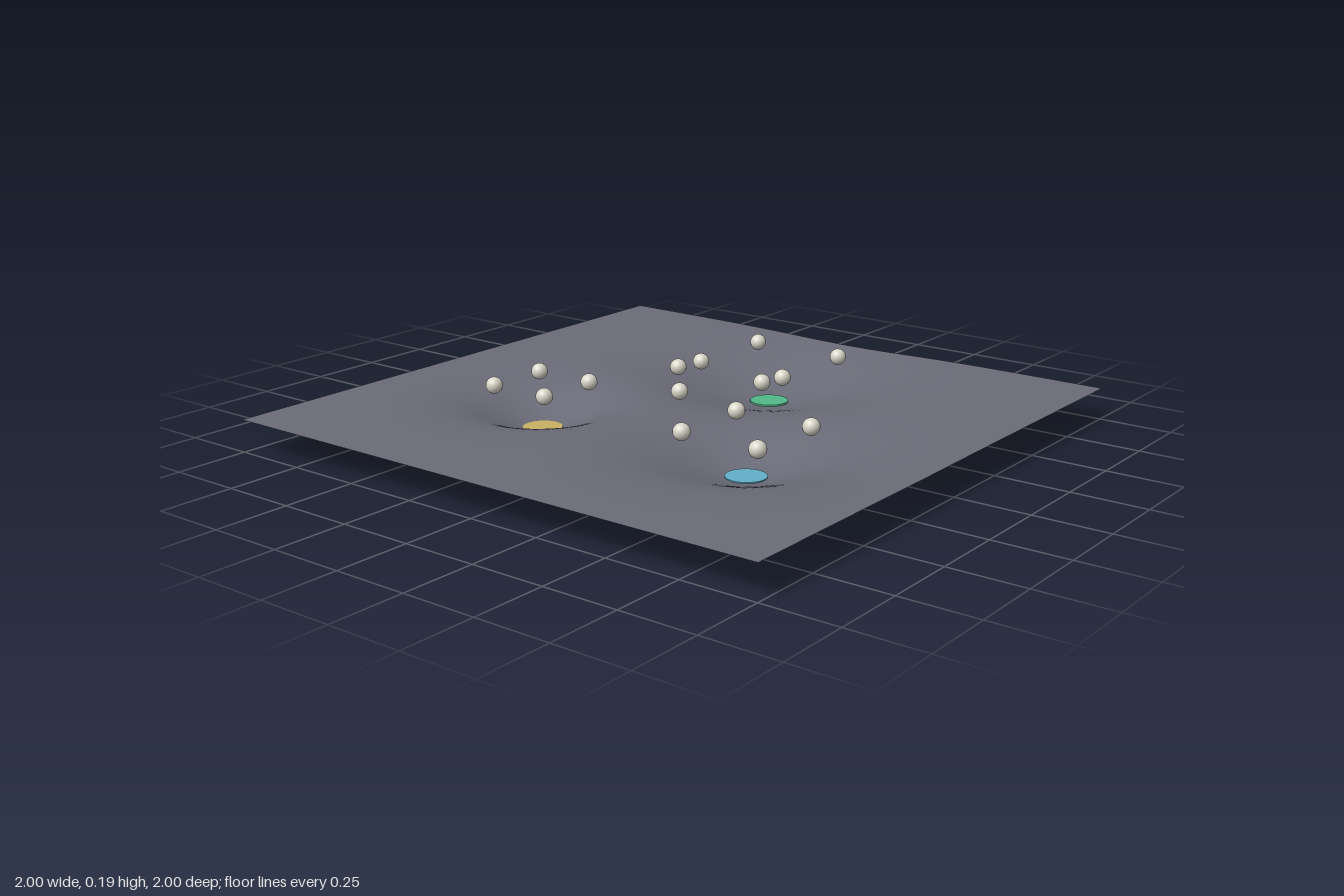
import * as THREE from 'three';

const mat = (name, color, side = THREE.FrontSide) => {
  const m = new THREE.MeshStandardMaterial({ color, side });
  m.name = name;
  return m;
};

export function createModel() {
  const group = new THREE.Group();
  const sheetMat = mat('slate grey', 0x6a6b78, THREE.DoubleSide);
  const ballMat = mat('ivory', 0xd8d5c8);
  const level = 0.108;

  // Each well: centre, width, marker colour
  const wells = [
    { name: 'left', x: 0.415, z: 0.235, w: 0.28, m: mat('sky blue', 0x62aec8) },
    { name: 'right', x: -0.415, z: 0.235, w: 0.22, m: mat('sand yellow', 0xc9b062) },
    { name: 'back', x: 0, z: -0.48, w: 0.34, m: mat('leaf green', 0x52b788) },
  ];
  const height = (x, z) => wells.reduce(
    (y, p) => y - level * Math.exp(-((x - p.x) ** 2 + (z - p.z) ** 2) / p.w ** 2), level);

  const add = (name, geo, material, x = 0, y = 0, z = 0) => {
    const mesh = new THREE.Mesh(geo, material);
    mesh.name = name;
    mesh.position.set(x, y, z);
    group.add(mesh);
  };

  // Sheet sagging into three bell-shaped wells
  const sheet = new THREE.PlaneGeometry(2, 2, 100, 100).rotateX(-Math.PI / 2);
  const pos = sheet.attributes.position;
  for (let i = 0; i < pos.count; i++) pos.setY(i, Math.max(0, height(pos.getX(i), pos.getZ(i))));
  sheet.computeVertexNormals();
  add('sheet', sheet, sheetMat);

  // Marker disc at the bottom of each well, with four balls around it
  const disc = new THREE.CylinderGeometry(0.066, 0.066, 0.008, 32);
  const ball = new THREE.SphereGeometry(0.028, 20, 14);
  const ballY = 0.157;
  for (const p of wells) {
    add(p.name + 'Disc', disc, p.m, p.x, 0.0055, p.z);
    for (const sx of [-1, 1]) for (const sz of [-1, 1])
      add(p.name + 'Ball', ball, ballMat, p.x + sx * p.w / 2, ballY, p.z + sz * p.w / 2);
  }

  // Loose balls between the wells
  for (const [x, z] of [[-0.188, -0.205], [0.15, -0.22], [0, 0.03]])
    add('looseBall', ball, ballMat, x, ballY, z);

  return group;
}
